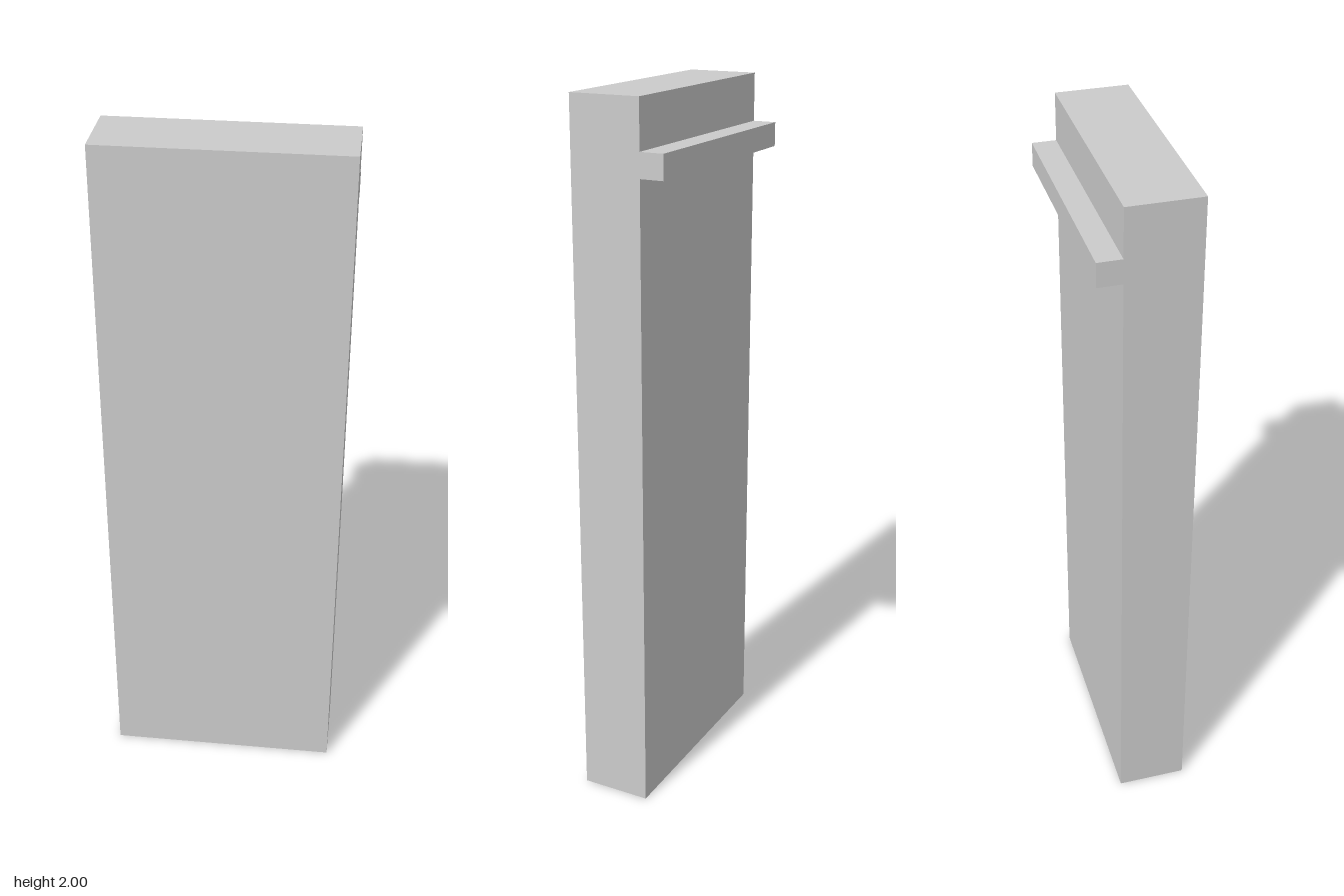
import * as THREE from 'three';

export function createModel() {
  const model = new THREE.Group();
  model.name = 'panelWithRail';
  const material = new THREE.MeshStandardMaterial({ color: 0xcccccc });

  const WIDTH = 2 / 3;

  // Box spanning the full width, given its bottom/top and back/front limits
  function addBox(name, y0, y1, z0, z1) {
    const mesh = new THREE.Mesh(new THREE.BoxGeometry(WIDTH, y1 - y0, z1 - z0), material);
    mesh.name = name;
    mesh.position.set(0, (y0 + y1) / 2, (z0 + z1) / 2);
    model.add(mesh);
  }

  // Tall upright slab
  addBox('panel', 0, 2, -0.0667, 0.1333);

  // Square ledge across the back, near the top
  addBox('backRail', 1.8, 1.8667, -0.1333, -0.0667);

  return model;
}
